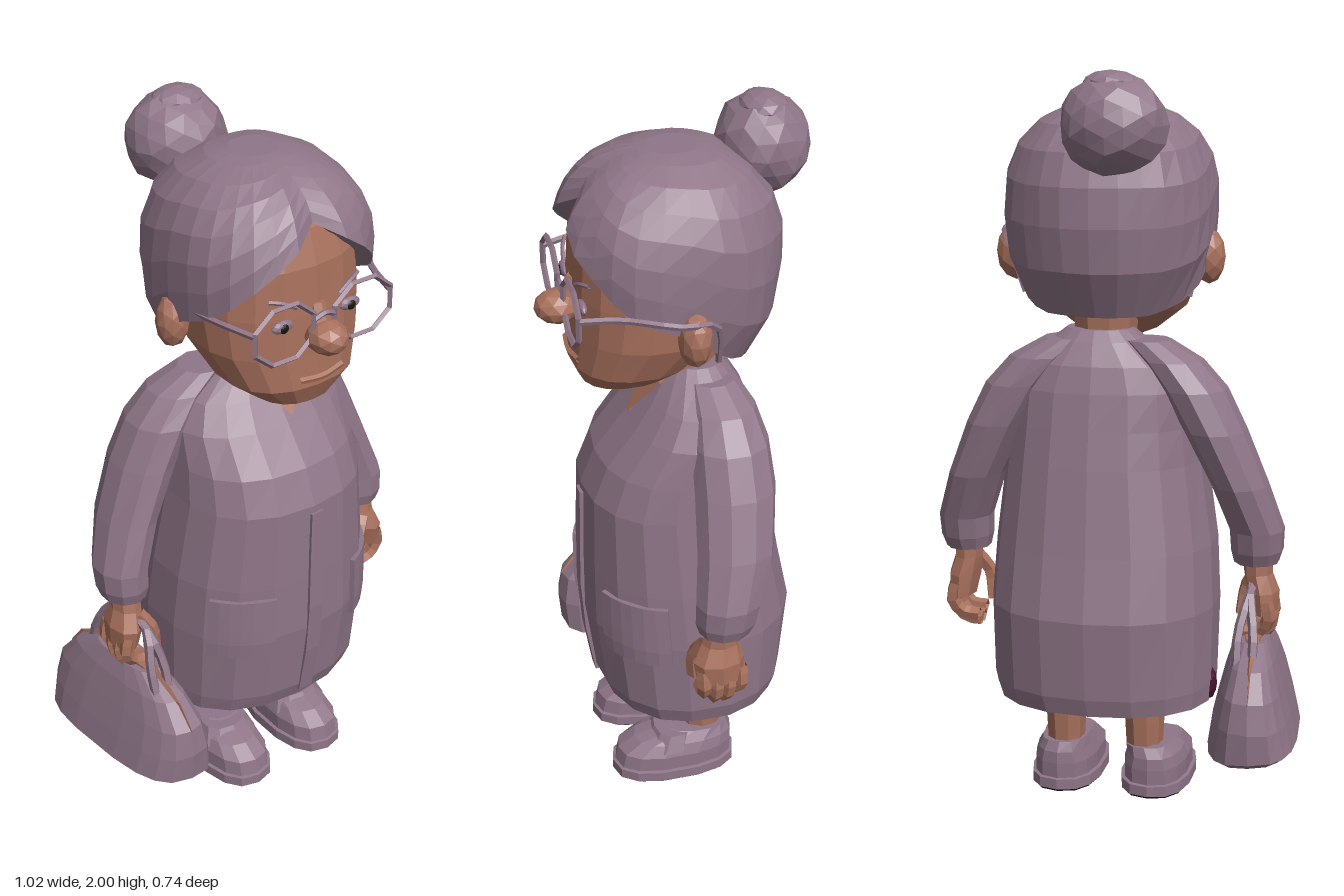
import * as THREE from 'three';

const mat = (name, color, double) => {
  const m = new THREE.MeshStandardMaterial({ color });
  m.name = name;
  if (double) m.side = THREE.DoubleSide;
  return m;
};

// A ring row is [y, centreX, radiusX, frontZ, backZ]; e squares the ring off.
const pw = (v, e) => Math.sign(v) * Math.pow(Math.abs(v), 2 / e);
function ringPoint([y, cx, rx, zf, zb], a, e = 2) {
  return [cx + rx * pw(Math.sin(a), e), y, (zf + zb) / 2 + (zf - zb) / 2 * pw(Math.cos(a), e)];
}

// Skin a grid of rings, bottom to top, with optional caps.
function skin(rings, capBottom = true, capTop = true) {
  const n = rings[0].length, pos = rings.flat(2), idx = [];
  for (let i = 0; i < rings.length - 1; i++)
    for (let j = 0; j < n; j++) {
      const k = (j + 1) % n, a = i * n + j, b = i * n + k;
      idx.push(a, b, b + n, a, b + n, a + n);
    }
  const cap = (ring, start, up) => {
    const c = pos.length / 3;
    for (let d = 0; d < 3; d++) pos.push(ring.reduce((s, p) => s + p[d], 0) / n);
    for (let j = 0; j < n; j++) {
      const a = start + j, b = start + (j + 1) % n;
      idx.push(c, up ? a : b, up ? b : a);
    }
  };
  if (capBottom) cap(rings[0], 0, false);
  if (capTop) cap(rings[rings.length - 1], (rings.length - 1) * n, true);
  const g = new THREE.BufferGeometry();
  g.setAttribute('position', new THREE.Float32BufferAttribute(pos, 3));
  g.setIndex(idx);
  return g;
}
const loft = (rows, n = 12, e = 2, capBottom = true) =>
  skin(rows.map(r => Array.from({ length: n }, (_, j) => ringPoint(r, j / n * Math.PI * 2, e))), capBottom);

const tube = (pts, r, seg = 8) => new THREE.TubeGeometry(
  new THREE.CatmullRomCurve3(pts.map(p => new THREE.Vector3(...p))), seg, r, 5);

function warp(g, fn) {
  const p = g.attributes.position;
  for (let i = 0; i < p.count; i++) p.setXYZ(i, ...fn(p.getX(i), p.getY(i), p.getZ(i)));
  return g;
}
const blob = (x, y, z, rx, ry, rz) => new THREE.IcosahedronGeometry(1, 1).scale(rx, ry, rz).translate(x, y, z);

const DRESS = [
  [0.28, 0.03, 0.3, 0.22, -0.28], [0.33, 0.035, 0.31, 0.24, -0.295], [0.55, 0.035, 0.315, 0.27, -0.315],
  [0.72, 0.035, 0.305, 0.27, -0.28], [0.95, 0.04, 0.275, 0.265, -0.24], [1.05, 0.04, 0.265, 0.225, -0.22],
  [1.15, 0.04, 0.255, 0.145, -0.2], [1.22, 0.04, 0.215, 0.09, -0.18], [1.28, 0.045, 0.13, 0.045, -0.145], [1.31, 0.045, 0.09, 0.02, -0.12]];
function dressRow(y) {
  let i = 0;
  while (i < DRESS.length - 2 && DRESS[i + 1][0] < y) i++;
  const a = DRESS[i], b = DRESS[i + 1], t = (y - a[0]) / (b[0] - a[0]);
  return a.map((v, k) => v + (b[k] - v) * t);
}
// Thin panel wrapped onto the dress between two angles and two heights.
const panel = (a0, a1, y0, y1, lift) => warp(new THREE.BoxGeometry(1, 1, 1, 6, 4, 1), (x, y, z) => {
  const r = dressRow(y0 + (y1 - y0) * (y + 0.5)), o = z > 0 ? lift : -0.008;
  return ringPoint([r[0], r[1], r[2] + o, r[3] + o, r[4] - o], a0 + (a1 - a0) * (x + 0.5), 2.3);
});

// Hair cap: rows run from hairline to crown, parted at the front.
function hairCap() {
  const line = [[0, 1.79], [0.35, 1.72], [0.75, 1.64], [1.1, 1.56], [1.5, 1.52], [1.9, 1.4], [2.4, 1.36], [3.15, 1.355]];
  const n = 28, rows = 7, rings = [];
  for (let i = -1; i <= rows; i++) {
    const ring = [];
    for (let j = 0; j < n; j++) {
      const a = j / n * Math.PI * 2, f = a > Math.PI ? Math.PI * 2 - a : a;
      let k = 0;
      while (line[k + 1][0] < f) k++;
      const u = (f - line[k][0]) / (line[k + 1][0] - line[k][0]);
      const edge = line[k][1] + (line[k + 1][1] - line[k][1]) * u;
      const t = Math.max(i, 0) / rows, y = edge + (1.91 - edge) * Math.sin(t * Math.PI / 2);
      const h = (y - 1.63) / (y > 1.63 ? 0.283 : 0.35);
      let s = Math.pow(Math.max(0, 1 - Math.pow(Math.abs(h), 2.4)), 1 / 2.4);
      s *= 1 - 0.12 * Math.exp(-f * f * 40) * (1 - t) + 0.014 * Math.sin(j * 1.35 + i * 0.9);
      if (i < 0) s *= 0.78;
      ring.push(ringPoint([y, 0.025, 0.285 * s, 0.318 * s, -0.275 * s], a, 2.3));
    }
    rings.push(ring);
  }
  return skin(rings, false);
}

export function createModel() {
  const model = new THREE.Group();
  const mauve = mat('mauve', 0x8f7688, true), tan = mat('skin', 0xa9715d, true);
  const wine = mat('wine lining', 0x481230, true), black = mat('black', 0x17170f);
  const add = (name, g, m) => {
    g = g.index ? g.toNonIndexed() : g;
    g.computeVertexNormals();
    const mesh = new THREE.Mesh(g, m);
    mesh.name = name;
    model.add(mesh);
  };

  // Dress with lining, pockets, front placket and open neck
  add('dress', loft(DRESS, 18, 2.3, false), mauve);
  add('dressLining', loft([0.281, 0.4, 0.55].map(y => {
    const r = dressRow(y);
    return [y, r[1], r[2] - 0.014, r[3] - 0.014, r[4] + 0.014];
  }), 18, 2.3, false), wine);
  add('rightPocket', panel(-1.0, -0.33, 0.5, 0.69, 0.009), mauve);
  add('leftPocket', panel(0.5, 1.25, 0.5, 0.69, 0.009), mauve);
  add('frontPlacket', panel(-0.03, 0.07, 0.31, 0.93, 0.008), mauve);
  add('liningFold', blob(-0.262, 0.325, -0.06, 0.024, 0.048, 0.03), wine);
  add('neck', loft([[1.15, 0.04, 0.08, 0.06, -0.1], [1.4, 0.035, 0.09, 0.08, -0.12]], 9), tan);
  add('neckOpening', skin([
    [[0.055, 1.17, 0.137], [0.065, 1.17, 0.137], [0.06, 1.17, 0.1]],
    [[-0.025, 1.275, 0.062], [0.125, 1.275, 0.062], [0.05, 1.275, 0]]]), tan);

  // Head, nose, ears and lips
  add('head', loft([
    [1.265, 0.03, 0.06, 0.23, 0.06], [1.285, 0.03, 0.11, 0.258, 0.02], [1.345, 0.028, 0.185, 0.285, -0.04],
    [1.44, 0.025, 0.226, 0.28, -0.14], [1.55, 0.025, 0.235, 0.277, -0.18], [1.68, 0.025, 0.225, 0.268, -0.18],
    [1.77, 0.025, 0.18, 0.238, -0.15], [1.84, 0.025, 0.1, 0.14, -0.08]], 18, 2.4), tan);
  add('nose', blob(0.03, 1.495, 0.31, 0.055, 0.046, 0.062), tan);
  add('noseBridge', loft([[1.49, 0.03, 0.035, 0.335, 0.24], [1.58, 0.03, 0.02, 0.285, 0.24]], 6), tan);
  add('leftEar', blob(0.295, 1.5, 0.015, 0.055, 0.078, 0.045), tan);
  add('rightEar', blob(-0.24, 1.5, 0.015, 0.045, 0.075, 0.045), tan);
  add('lips', tube([[-0.03, 1.37, 0.278], [0.04, 1.366, 0.284], [0.11, 1.374, 0.274]], 0.009), tan);

  // Hair and bun
  add('hair', hairCap(), mauve);
  add('bun', warp(new THREE.IcosahedronGeometry(1, 2), (x, y, z) => {
    const s = 1 + 0.035 * Math.sin(5 * Math.atan2(z, x) + y * 5);
    return [-0.037 + x * s * 0.14, 1.862 + y * s * 0.13, -0.25 + z * s * 0.123];
  }), mauve);
  add('bunKnot', blob(-0.03, 1.965, -0.25, 0.075, 0.035, 0.065), mauve);

  // Eyes, brows and spectacles
  for (const [side, x, s] of [['left', 0.135, 1], ['right', -0.08, -1]]) {
    add(side + 'Eye', blob(x, 1.54, 0.268, 0.034, 0.018, 0.012), mauve);
    add(side + 'Pupil', blob(x, 1.538, 0.276, 0.014, 0.014, 0.007), black);
    add(side + 'Brow', tube([[x - s * 0.04, 1.585, 0.275], [x, 1.605, 0.268], [x + s * 0.035, 1.614, 0.255]], 0.006), mauve);
    const rim = new THREE.TorusGeometry(0.09, 0.008, 4, 8).rotateZ(Math.PI / 8);
    add(side + 'SpectacleRim', rim.scale(1.1, 0.92, 1).translate(x + s * 0.017, 1.538, 0.3), mauve);
  }
  add('spectacleBridge', tube([[-0.005, 1.55, 0.3], [0.03, 1.562, 0.303], [0.06, 1.55, 0.3]], 0.008), mauve);
  add('leftTemple', tube([[0.243, 1.56, 0.3], [0.27, 1.565, 0.2], [0.335, 1.56, 0.06], [0.3, 1.53, -0.04], [0.25, 1.4, -0.06]], 0.009, 12), mauve);
  add('rightTemple', tube([[-0.188, 1.56, 0.3], [-0.22, 1.565, 0.2], [-0.24, 1.56, 0.06], [-0.23, 1.53, -0.04], [-0.2, 1.4, -0.06]], 0.009, 12), mauve);

  // Arms and hands, mirrored about the body's middle
  for (const side of ['left', 'right']) {
    const mx = x => side === 'left' ? x : 0.04 - x;
    const row = ([y, x, ...r]) => [y, mx(x), ...r];
    const path = pts => pts.map(([x, y, z]) => [mx(x), y, z]);
    add(side + 'Sleeve', loft([
      [0.675, 0.428, 0.062, 0.035, -0.105], [0.71, 0.43, 0.072, 0.046, -0.122], [0.77, 0.43, 0.075, 0.045, -0.135],
      [0.9, 0.386, 0.077, 0.03, -0.18], [1.05, 0.32, 0.085, 0.02, -0.2], [1.16, 0.262, 0.09, 0.015, -0.195],
      [1.235, 0.2, 0.085, 0, -0.175], [1.285, 0.13, 0.065, -0.01, -0.14]].map(row), 10, 2, false), mauve);
    add(side + 'CuffLining', loft([[0.676, 0.428, 0.058, 0.03, -0.1], [0.7, 0.43, 0.058, 0.03, -0.1]].map(row), 10, 2, false), wine);
    add(side + 'Palm', loft([
      [0.53, 0.45, 0.036, 0.045, -0.085], [0.59, 0.445, 0.045, 0.055, -0.085],
      [0.64, 0.432, 0.04, 0.03, -0.075], [0.72, 0.43, 0.04, 0.01, -0.07]].map(row), 8), tan);
    for (let f = 0; f < 4; f++) {
      const z = 0.03 - f * 0.034, d = f === 0 || f === 3 ? 0.02 : 0;
      add(side + 'Finger', tube(path([[0.458, 0.57, z], [0.468, 0.5 + d, z], [0.44, 0.462 + d, z * 0.8], [0.395, 0.457 + d, z * 0.8]]), 0.02, 6), tan);
    }
    add(side + 'Thumb', tube(path([[0.42, 0.63, 0.02], [0.39, 0.58, 0.04], [0.378, 0.5, 0.035]]), 0.02, 5), tan);
  }

  // Legs and shoes
  for (const [side, x, lx] of [['left', 0.152, 0.145], ['right', -0.105, -0.08]]) {
    add(side + 'Leg', loft([[0.1, lx, 0.05, 0.0, -0.11], [0.2, lx, 0.055, 0.015, -0.12], [0.5, lx, 0.075, 0.03, -0.14]], 9), tan);
    add(side + 'Sole', loft([[0, x, 0.094, 0.207, -0.142], [0.006, x, 0.096, 0.21, -0.145]], 14, 2.5), black);
    add(side + 'Shoe', loft([
      [0.006, x, 0.1, 0.215, -0.147], [0.035, x, 0.1, 0.215, -0.147], [0.037, x, 0.09, 0.207, -0.138],
      [0.08, x, 0.09, 0.198, -0.14], [0.112, x, 0.078, 0.15, -0.138], [0.14, (x + lx) / 2, 0.064, 0.05, -0.125]], 14, 2.5), mauve);
    add(side + 'ShoeStrap', loft([[0.09, x, 0.09, 0.12, -0.02], [0.138, x, 0.068, 0.09, -0.02]], 10, 2.5), mauve);
  }

  // Handbag with end gussets and two handles, set slightly askew
  const skew = g => warp(g, (x, y, z) => [x + 0.08 * z, y + 0.1 * (-0.385 - x) * (y < 0.25 ? 1 : 0), z]);
  add('handbag', skew(loft([
    [0.16, -0.383, 0.1, 0.2, -0.26], [0.185, -0.385, 0.125, 0.25, -0.305], [0.27, -0.383, 0.108, 0.258, -0.31],
    [0.35, -0.382, 0.086, 0.245, -0.295], [0.42, -0.382, 0.064, 0.185, -0.235], [0.47, -0.382, 0.042, 0.09, -0.14]], 18, 3)), mauve);
  add('bagGusset', skew(loft([
    [0.35, -0.382, 0.012, 0.251, -0.301], [0.42, -0.382, 0.028, 0.198, -0.248], [0.476, -0.382, 0.026, 0.1, -0.15]], 8)), tan);
  for (const x of [-0.358, -0.4])
    add('bagHandle', tube([[x, 0.4, 0.14], [x, 0.5, 0.11], [-0.38, 0.6, 0.06], [-0.38, 0.6, -0.09], [x, 0.5, -0.16], [x, 0.4, -0.19]], 0.014, 14), mauve);

  return model;
}
